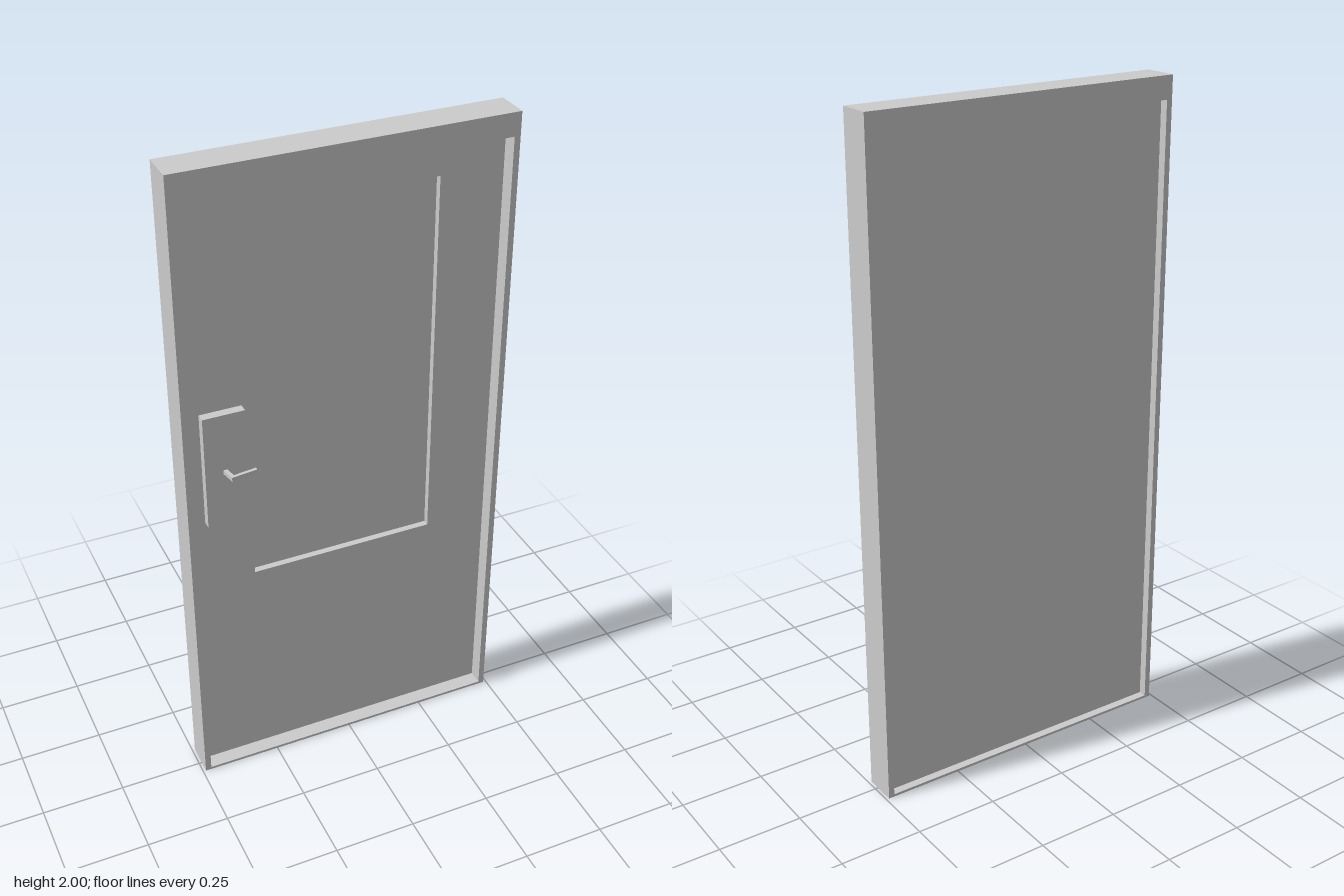
import * as THREE from 'three';

const material = new THREE.MeshStandardMaterial({ color: 0xcccccc, flatShading: true });

// Path around an axis-aligned rectangle
function rect(path, x0, x1, y0, y1) {
  path.moveTo(x0, y0);
  path.lineTo(x1, y0);
  path.lineTo(x1, y1);
  path.lineTo(x0, y1);
  path.closePath();
  return path;
}

// Rectangular slab between z0 and z1, optionally with a rectangular opening
function slab(name, outer, z0, z1, hole) {
  const shape = rect(new THREE.Shape(), ...outer);
  if (hole) shape.holes.push(rect(new THREE.Path(), ...hole));
  const geometry = new THREE.ExtrudeGeometry(shape, { depth: z1 - z0, bevelEnabled: false });
  geometry.translate(0, 0, z0);
  const mesh = new THREE.Mesh(geometry, material);
  mesh.name = name;
  return mesh;
}

export function createModel() {
  const door = new THREE.Group();
  door.name = 'door';

  const opening = [-0.473, 0.473, 0.008, 1.932];
  const panel = [-0.284, 0.282, 0.69, 1.838];

  // Outer frame, deeper than the door leaf
  door.add(slab('frame', [-0.491, 0.491, 0, 2], -0.065, 0.038, opening));

  // Leaf: a solid back sheet and a front layer cut out for the recessed panel
  const leaf = new THREE.Group();
  leaf.name = 'leaf';
  leaf.add(slab('leafBack', opening, -0.04, -0.028));
  leaf.add(slab('leafFront', opening, -0.028, -0.008, panel));
  door.add(leaf);

  // Lock plate
  door.add(slab('lockPlate', [-0.427, -0.303, 0.915, 1.275], -0.008, 0.019));

  // Bent handle: slanted stem and lever, outlined from above as (x, z)
  const outline = [
    [-0.374, 0.018], [-0.362, 0.018], [-0.356, 0.052],
    [-0.288, 0.043], [-0.287, 0.053], [-0.365, 0.063],
  ].map(([x, z]) => new THREE.Vector2(x, -z));
  const height = 0.013;
  const handleGeometry = new THREE.ExtrudeGeometry(new THREE.Shape(outline), { depth: height, bevelEnabled: false });
  handleGeometry.rotateX(-Math.PI / 2).translate(0, 1.084, 0);
  const handle = new THREE.Mesh(handleGeometry, material);
  handle.name = 'handle';
  door.add(handle);

  return door;
}
